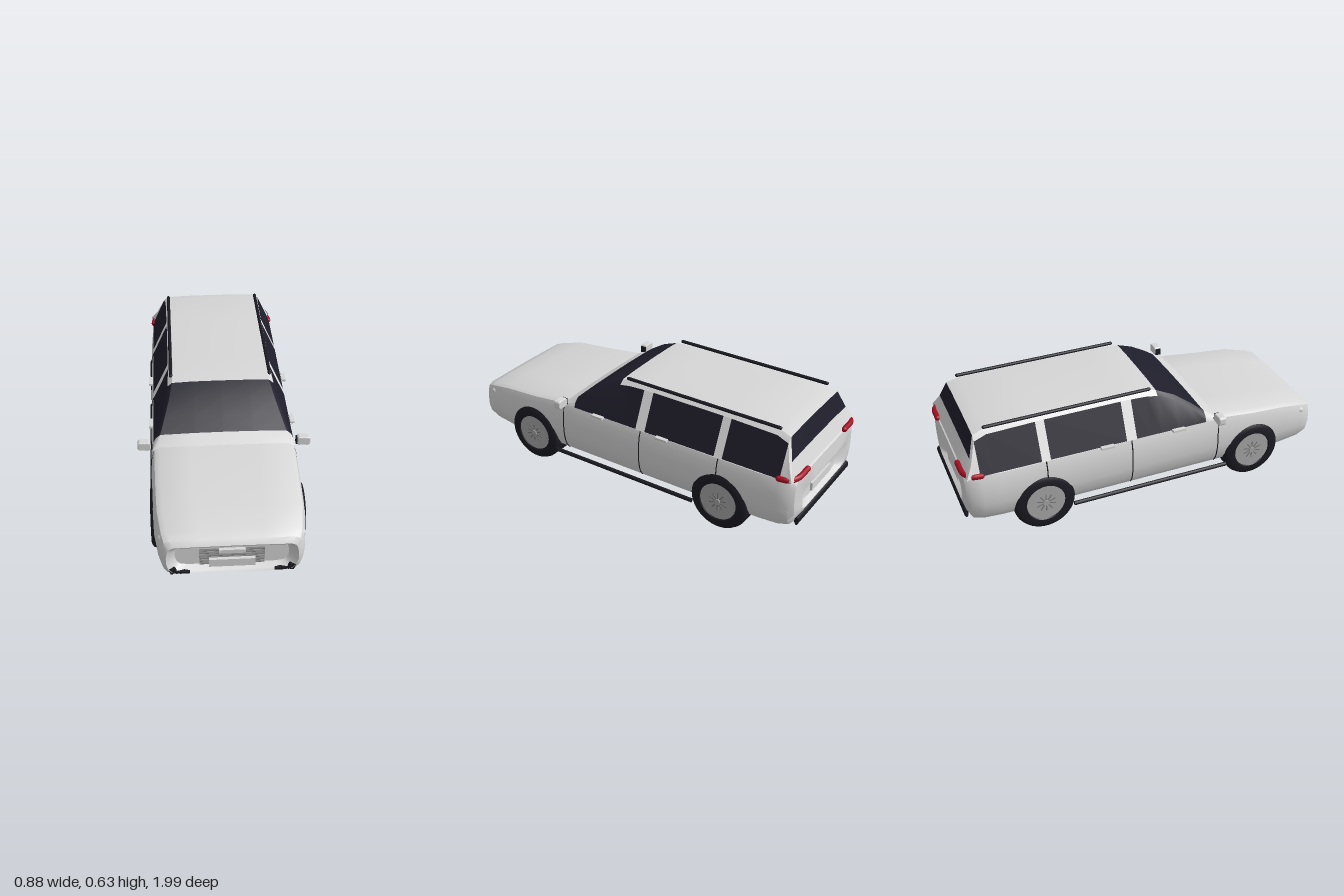
import * as THREE from 'three';
import { toCreasedNormals } from 'three/addons/utils/BufferGeometryUtils.js';

const mat = (name, color) => {
  const m = new THREE.MeshStandardMaterial({ color });
  m.name = name;
  return m;
};
const V = (x, y, z) => new THREE.Vector3(x, y, z);

// Skins rings listed front to back; matOf(section, strip) picks the colour of each quad.
function loft(rings, matOf, capped) {
  const sets = new Map();
  const tri = (m, ...pts) => {
    if (!sets.has(m)) sets.set(m, []);
    pts.forEach(p => sets.get(m).push(p.x, p.y, p.z));
  };
  for (let i = 0; i < rings.length - 1; i++) {
    for (let j = 0; j < rings[i].length - 1; j++) {
      const a = rings[i][j], b = rings[i][j + 1], c = rings[i + 1][j + 1], d = rings[i + 1][j];
      const m = matOf(i, j);
      tri(m, a, d, b);
      tri(m, b, d, c);
    }
  }
  if (capped) [rings[0], rings[rings.length - 1]].forEach((r, end) => {
    const mid = r.reduce((s, p) => s.add(p), V(0, 0, 0)).divideScalar(r.length);
    for (let j = 0; j < r.length - 1; j++) {
      if (end) tri(matOf(0, 0), mid, r[j + 1], r[j]);
      else tri(matOf(0, 0), mid, r[j], r[j + 1]);
    }
  });
  return [...sets].map(([m, pos]) => {
    const g = new THREE.BufferGeometry();
    g.setAttribute('position', new THREE.Float32BufferAttribute(pos, 3));
    return new THREE.Mesh(toCreasedNormals(g, 0.6), m);
  });
}

// Mirrors a half profile given from its +x start to its centre line.
const mirrored = half => [...half, ...half.slice().reverse().map(p => V(-p.x, p.y, p.z))];

export function createModel() {
  const car = new THREE.Group();
  car.name = 'estateCar';
  const paint = mat('body paint', 0xd6d6d6);
  const pillarPaint = mat('pillar white', 0xf2f2f2);
  const glass = mat('dark glass', 0x1f1e2b);
  const rubber = mat('black rubber', 0x1a1a22);
  const alloy = mat('alloy grey', 0xa6a6a6);
  const slat = mat('slat grey', 0x7c7c7c);
  const red = mat('tail light red', 0xa30f22);

  const add = (name, geo, m, x = 0, y = 0, z = 0) => {
    const mesh = new THREE.Mesh(geo, m);
    mesh.name = name;
    mesh.position.set(x, y, z);
    car.add(mesh);
    return mesh;
  };
  const box = (name, m, w, h, d, x, y, z) => add(name, new THREE.BoxGeometry(w, h, d), m, x, y, z);

  // Lower body: one profile scaled along the length, folded inwards at both ends
  const profile = [[0, 0], [0.78, 0], [0.91, 0.06], [0.965, 0.18], [1, 0.4], [1, 0.62],
    [0.98, 0.84], [0.95, 0.95], [0.88, 1], [0.45, 1.01], [0, 1.015]];
  const bodyRing = ([z, w, yb, yt]) =>
    mirrored(profile.map(([fx, fy]) => V(fx * w, yb + fy * (yt - yb), z)));
  const stations = [
    [0.95, 0.27, 0.165, 0.285], [0.985, 0.3, 0.155, 0.302], [0.995, 0.312, 0.145, 0.315],
    [0.975, 0.335, 0.13, 0.34], [0.93, 0.348, 0.12, 0.356], [0.8, 0.367, 0.114, 0.386],
    [0.6, 0.374, 0.112, 0.402], [0.4, 0.376, 0.112, 0.425], [0.3, 0.376, 0.112, 0.42],
    [-0.8, 0.376, 0.112, 0.415], [-0.9, 0.37, 0.115, 0.415], [-0.955, 0.357, 0.125, 0.412],
    [-0.98, 0.335, 0.165, 0.4], [-0.987, 0.26, 0.19, 0.32], [-0.96, 0.2, 0.205, 0.285]];
  loft(stations.map(bodyRing), () => paint, true).forEach(m => {
    m.name = 'lowerBody';
    car.add(m);
  });

  // Cabin: roof line stations [z, top height]
  const roofLine = [[0.385, 0.42], [0.315, 0.457], [0.25, 0.507], [0.16, 0.567], [0.065, 0.607],
    [0, 0.615], [-0.082, 0.618], [-0.138, 0.619], [-0.547, 0.617], [-0.593, 0.616],
    [-0.84, 0.61], [-0.905, 0.59], [-0.94, 0.49], [-0.975, 0.41]];
  const cabinW = y => 0.362 - 0.46 * (y - 0.41);
  const cabinRing = ([z, y]) => mirrored([
    V(cabinW(0.41), 0.408, z), V(cabinW(y - 0.022), Math.max(y - 0.022, 0.409), z),
    V(cabinW(y) - 0.015, y, z), V(0.15, y + 0.005, z), V(0, y + 0.006, z)]);
  const cabinColour = (i, j) => {
    const strip = Math.min(j, 8 - j);
    if (strip === 0) {
      if (i === 6 || i === 8) return pillarPaint;
      return i >= 1 && i <= 10 ? glass : paint;
    }
    if (i >= 1 && i <= 3) return glass;
    return i === 11 && strip >= 2 ? glass : paint;
  };
  loft(roofLine.map(cabinRing), cabinColour, false).forEach(m => {
    m.name = m.material === glass ? 'windows' : m.material === paint ? 'roof' : 'pillars';
    car.add(m);
  });

  // Door seams running down the sides and under the floor
  const seam = (z, from) => {
    const half = profile.slice(0, 8).map(([fx, fy]) => V(fx * 0.376, 0.112 + fy * 0.305, z));
    const pts = half.slice(from);
    const lines = from ? [pts, pts.map(p => V(-p.x, p.y, z))]
      : [[...half.slice().reverse().map(p => V(-p.x, p.y, z)), ...half.slice(1)]];
    lines.forEach(l => add('doorSeam', new THREE.TubeGeometry(
      new THREE.CatmullRomCurve3(l, false, 'centripetal'), 40, 0.003, 6), rubber));
  };
  seam(0.385, 0);
  seam(-0.11, 0);
  seam(-0.57, 5);

  // Axle-wide tyres with alloy faces
  const tyreHalf = [[0.098, 0.374], [0.106, 0.384], [0.138, 0.384], [0.155, 0.374], [0.163, 0.355]];
  const tyreProfile = [...tyreHalf.map(([r, x]) => new THREE.Vector2(r, -x)),
    ...tyreHalf.slice().reverse().map(([r, x]) => new THREE.Vector2(r, x))];
  const tyreGeo = toCreasedNormals(new THREE.LatheGeometry(tyreProfile, 48).rotateZ(-Math.PI / 2), 0.6);
  for (const z of [0.6, -0.59]) {
    add('tyres', tyreGeo, rubber, 0, 0.163, z);
    for (const s of [1, -1]) {
      const wheel = new THREE.Group();
      wheel.name = 'wheel';
      wheel.position.set(s * 0.375, 0.163, z);
      const part = (name, geo, m, x) => {
        const mesh = new THREE.Mesh(geo, m);
        mesh.name = name;
        mesh.position.x = s * x;
        wheel.add(mesh);
        return mesh;
      };
      part('rimDisc', new THREE.CylinderGeometry(0.104, 0.104, 0.008, 40).rotateZ(Math.PI / 2), alloy, 0);
      part('hub', new THREE.CylinderGeometry(0.016, 0.016, 0.012, 16).rotateZ(Math.PI / 2), alloy, 0.004);
      for (let k = 0; k < 10; k++) {
        const spoke = part('spoke', new THREE.BoxGeometry(0.006, 0.04, 0.006).translate(0, 0.032, 0), slat, 0.003);
        spoke.rotation.x = k * Math.PI / 5;
      }
      car.add(wheel);
    }
  }

  // Front: slats, plate, badge panel, lamps and intakes
  for (let k = 0; k < 6; k++) box('grilleSlat', slat, 0.31, 0.004, 0.012, 0, 0.172 + k * 0.017, 0.955);
  box('frontPlate', paint, 0.22, 0.045, 0.016, 0, 0.189, 0.968);
  box('badgePanel', paint, 0.125, 0.022, 0.016, 0, 0.261, 0.968);
  box('rearPlate', paint, 0.22, 0.045, 0.012, 0, 0.242, -0.966);

  for (const s of [1, -1]) {
    const lamp = add('headlight', new THREE.SphereGeometry(1, 20, 14), paint, s * 0.33, 0.315, 0.92);
    lamp.scale.set(0.018, 0.018, 0.02);
    const intake = new THREE.Shape([[0.2, 0.148], [0.292, 0.146], [0.303, 0.178], [0.275, 0.178], [0.262, 0.16], [0.2, 0.156]]
      .map(([x, y]) => new THREE.Vector2(s * x, y)));
    add('frontIntake', new THREE.ExtrudeGeometry(intake, { depth: 0.02, bevelEnabled: false }), rubber, 0, 0, 0.974);

    // Tail lights wrapping round the rear corners
    const path = new THREE.CatmullRomCurve3([V(s * 0.358, 0.409, -0.9), V(s * 0.35, 0.41, -0.945),
      V(s * 0.31, 0.412, -0.976), V(s * 0.215, 0.415, -0.982)]);
    add('tailLight', new THREE.TubeGeometry(path, 20, 0.015, 10), red);
    for (const t of [0, 1]) {
      const p = path.getPoint(t);
      add('tailLightEnd', new THREE.SphereGeometry(0.015, 12, 8), red, p.x, p.y, p.z);
    }

    // Wing mirrors
    box('mirrorStalk', rubber, 0.02, 0.036, 0.03, s * 0.377, 0.437, 0.37);
    const cup = new THREE.Shape();
    cup.absarc(0.02, 0.01, 0.009, 0, Math.PI / 2);
    cup.absarc(-0.02, 0.01, 0.009, Math.PI / 2, Math.PI);
    cup.absarc(-0.02, -0.01, 0.009, Math.PI, Math.PI * 1.5);
    cup.absarc(0.02, -0.01, 0.009, Math.PI * 1.5, Math.PI * 2);
    add('mirror', new THREE.ExtrudeGeometry(cup, {
      depth: 0.026, bevelThickness: 0.007, bevelSize: 0.005, bevelSegments: 3, curveSegments: 6
    }), paint, s * 0.407, 0.44, 0.358);

    // Handles, roof rails and running boards
    for (const z of [0.15, -0.25]) box('doorHandle', paint, 0.022, 0.012, 0.07, s * 0.375, 0.41, z);
    const rail = add('roofRail', new THREE.CapsuleGeometry(0.009, 0.87, 4, 10).rotateX(Math.PI / 2),
      rubber, s * 0.262, 0.622, -0.41);
    rail.rotation.x = -0.006;
    add('runningBoard', new THREE.CylinderGeometry(0.011, 0.011, 0.88, 12).rotateX(Math.PI / 2),
      rubber, s * 0.381, 0.112, 0);
  }

  // Rear bumper bar
  const bar = add('rearBumperBar', new THREE.CylinderGeometry(1, 1, 0.6, 20).rotateZ(Math.PI / 2),
    rubber, 0, 0.157, -0.984);
  bar.scale.set(1, 0.022, 0.011);

  return car;
}
